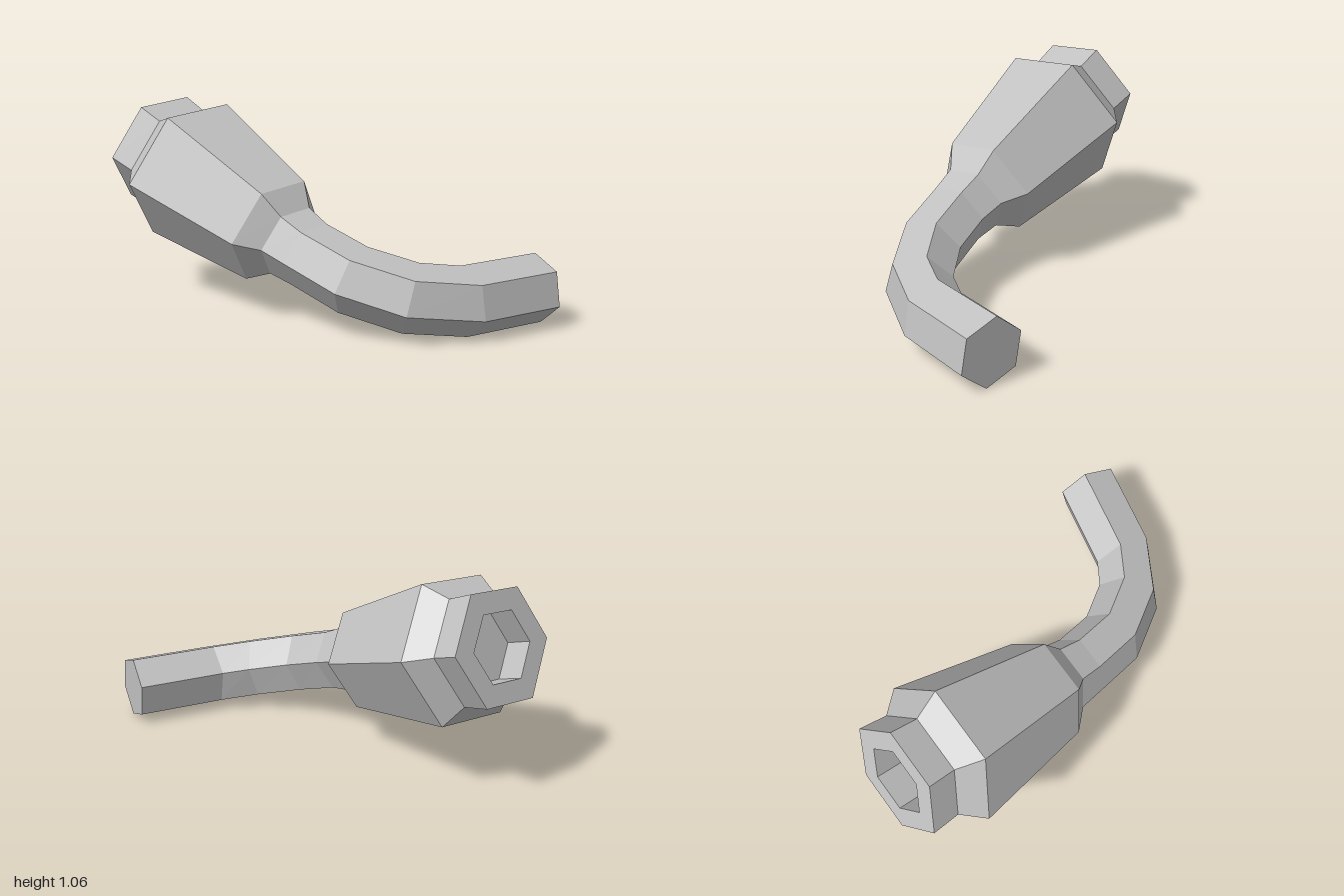
import * as THREE from 'three';

// The bent pipe lies in a tilted plane spanned by x and "along"; "up" is its normal.
const TILT = 0.345;
const origin = new THREE.Vector3(0, 0.18, 0.83);
const xAxis = new THREE.Vector3(1, 0, 0);
const along = new THREE.Vector3(0, Math.sin(TILT), -Math.cos(TILT));
const up = new THREE.Vector3(0, Math.cos(TILT), Math.sin(TILT));

// Hexagonal ring: centre (x, s) in the plane, in-plane half width (ux, us), radius r along the normal
function ring(x, s, ux, us, r) {
  return Array.from({ length: 6 }, (_, i) => {
    const c = Math.cos(i * Math.PI / 3), h = Math.sin(i * Math.PI / 3);
    return origin.clone()
      .addScaledVector(xAxis, x + ux * c)
      .addScaledVector(along, s + us * c)
      .addScaledVector(up, r * h);
  });
}

// Ring from its outer and inner corner on the bend
const bendRing = (ox, os, ix, is, r) =>
  ring((ox + ix) / 2, (os + is) / 2, (ix - ox) / 2, (is - os) / 2, r);

// Ring square to the straight upper axis, at distance t along it
const axisRing = (t, r) =>
  ring(-0.273 - 0.24 * t, 0.832 + 0.971 * t, 0.971 * r, 0.24 * r, r);

// Flat-faced skin through successive rings, with optional end caps
function loft(name, rings, material, capStart = false, capEnd = false) {
  const pos = [];
  const tri = (...pts) => pts.forEach(p => pos.push(p.x, p.y, p.z));
  for (let k = 0; k < rings.length - 1; k++) {
    const a = rings[k], b = rings[k + 1];
    for (let i = 0; i < 6; i++) {
      const j = (i + 1) % 6;
      tri(a[i], b[i], b[j]);
      tri(a[i], b[j], a[j]);
    }
  }
  const first = rings[0], last = rings[rings.length - 1];
  for (let i = 1; i < 5; i++) {
    if (capStart) tri(first[0], first[i], first[i + 1]);
    if (capEnd) tri(last[0], last[i + 1], last[i]);
  }
  const geo = new THREE.BufferGeometry();
  geo.setAttribute('position', new THREE.Float32BufferAttribute(pos, 3));
  geo.computeVertexNormals();
  const mesh = new THREE.Mesh(geo, material);
  mesh.name = name;
  return mesh;
}

export function createModel() {
  const group = new THREE.Group();
  group.name = 'bentPipe';
  const grey = new THREE.MeshStandardMaterial({ color: 0xc0c0c0, flatShading: true });
  grey.name = 'lightGrey';

  // Curved stem
  const stem = [
    bendRing(0.845, -0.18, 0.845, 0.18, 0.18),
    bendRing(0.37, -0.18, 0.36, 0.18, 0.18),
    bendRing(-0.01, -0.04, 0.22, 0.235, 0.18),
    bendRing(-0.26, 0.23, 0.055, 0.405, 0.18),
    bendRing(-0.385, 0.54, -0.035, 0.625, 0.18),
    axisRing(-0.115, 0.198),
  ];
  // Flared bowl, stepping in to the neck
  const bowlBase = axisRing(0, 0.297);
  const bowlTop = axisRing(0.717, 0.411);
  const neckBase = axisRing(0.84, 0.308);
  const neckTop = axisRing(1.0, 0.32);
  // Hexagonal socket in the neck's end
  const socketRim = axisRing(1.0, 0.195);
  const socketFloor = axisRing(0.85, 0.195);

  group.add(
    loft('stem', stem, grey, true),
    loft('collar', [stem[5], bowlBase], grey),
    loft('bowl', [bowlBase, bowlTop], grey),
    loft('shoulder', [bowlTop, neckBase], grey),
    loft('neck', [neckBase, neckTop], grey),
    loft('rim', [neckTop, socketRim], grey),
    loft('socket', [socketRim, socketFloor], grey, false, true),
  );
  return group;
}
